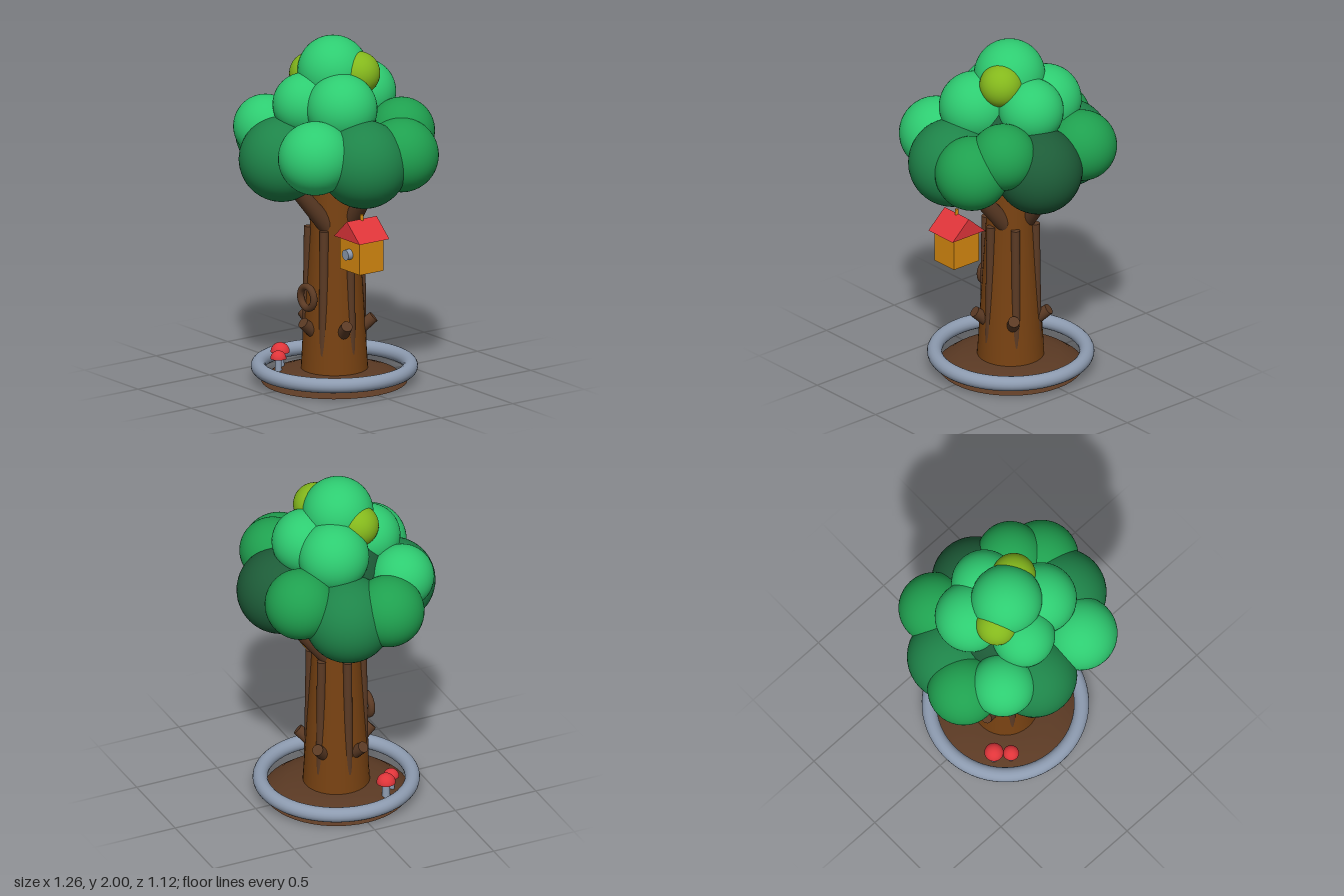
import * as THREE from 'three';

const mat = (name, color) => {
  const m = new THREE.MeshStandardMaterial({ color });
  m.name = name;
  return m;
};

export function createModel() {
  const tree = new THREE.Group();
  tree.name = 'tree';

  const M = {
    light: mat('light leaf green', 0x2ecc71),
    mid: mat('mid leaf green', 0x1fa04f),
    dark: mat('dark leaf green', 0x1e8449),
    deep: mat('deep leaf green', 0x1d5c38),
    lime: mat('lime green', 0x84b81c),
    trunk: mat('trunk brown', 0x784212),
    bark: mat('dark bark brown', 0x5b3a24),
    wood: mat('orange wood', 0xd68910),
    red: mat('red', 0xe0353a),
    grey: mat('blue grey', 0x8d9bb0),
  };

  const add = (name, geo, material, x = 0, y = 0, z = 0, parent = tree) => {
    const mesh = new THREE.Mesh(geo, material);
    mesh.name = name;
    mesh.position.set(x, y, z);
    parent.add(mesh);
    return mesh;
  };
  const lathe = (pts, segs = 40) =>
    new THREE.LatheGeometry(pts.map(([r, y]) => new THREE.Vector2(r, y)), segs);

  // cylinder running between two points
  const rod = (name, a, b, r0, r1, material) => {
    const A = new THREE.Vector3(...a), B = new THREE.Vector3(...b);
    const dir = B.clone().sub(A);
    const mesh = add(name, new THREE.CylinderGeometry(r1, r0, dir.length(), 18), material);
    mesh.position.copy(A).add(B).multiplyScalar(0.5);
    mesh.quaternion.setFromUnitVectors(new THREE.Vector3(0, 1, 0), dir.normalize());
    return mesh;
  };

  // ground mound with flat underside, and the ring around it
  add('moundTop', lathe([[0.41, 0], [0.36, 0.036], [0.28, 0.062], [0.18, 0.076], [0, 0.08]], 48), M.bark);
  add('moundBase', new THREE.CircleGeometry(0.41, 48), M.bark).rotation.x = Math.PI / 2;
  add('groundRing', new THREE.TorusGeometry(0.427, 0.042, 18, 64), M.grey, 0, 0.083, 0).rotation.x = Math.PI / 2;

  // trunk
  add('trunk', new THREE.CylinderGeometry(0.117, 0.19, 1.2, 40), M.trunk, 0, 0.65, 0);

  // bark ridges sinking into the flared trunk
  for (let i = 0; i < 6; i++) {
    const a = Math.PI / 6 + (i * Math.PI) / 3, s = Math.sin(a), c = Math.cos(a);
    rod('barkRidge', [s * 0.158, 0.1, c * 0.158], [s * 0.147, 0.9, c * 0.147], 0.025, 0.025, M.bark);
  }

  // cut branch stubs
  for (let i = 0; i < 5; i++) {
    const a = (i * Math.PI * 2) / 5, s = Math.sin(a), c = Math.cos(a);
    rod('branchStub', [s * 0.13, 0.29, c * 0.13], [s * 0.22, 0.367, c * 0.22], 0.038, 0.032, M.bark);
  }

  // knot on the front of the trunk
  add('trunkKnot', new THREE.TorusGeometry(0.062, 0.02, 14, 36), M.bark, 0, 0.51, 0.19);

  // four main branches, each starting slightly off its axis
  for (let i = 0; i < 4; i++) {
    const a = (i * Math.PI) / 2, s = Math.sin(a), c = Math.cos(a);
    rod('branch', [s * 0.06 + c * 0.045, 0.89, c * 0.06 - s * 0.045],
      [s * 0.36 + c * 0.02, 1.25, c * 0.36 - s * 0.02], 0.052, 0.04, M.bark);
  }

  // leaf clumps: material, x, y, z, radius
  const clumps = [
    ['deep', 0, 1.42, 0, 0.31],
    ['light', 0, 1.8, 0.01, 0.2],
    ['lime', 0.13, 1.8, -0.07, 0.123],
    ['lime', -0.13, 1.765, 0.07, 0.12],
    ['light', -0.035, 1.625, 0.185, 0.178],
    ['light', 0.19, 1.63, 0.09, 0.2],
    ['light', 0.015, 1.65, -0.19, 0.185],
    ['light', -0.175, 1.63, -0.1, 0.2],
    ['mid', -0.234, 1.41, -0.335, 0.2],
    ['deep', 0.065, 1.34, -0.315, 0.247],
    ['mid', 0.28, 1.47, -0.26, 0.188],
    ['mid', 0.42, 1.375, -0.155, 0.21],
    ['dark', 0.37, 1.345, 0.07, 0.249],
    ['light', 0.265, 1.4, 0.333, 0.208],
    ['dark', -0.072, 1.32, 0.315, 0.241],
    ['light', -0.275, 1.46, 0.277, 0.181],
    ['mid', -0.43, 1.355, 0.118, 0.203],
    ['dark', -0.335, 1.305, -0.085, 0.249],
  ];
  for (const [m, x, y, z, r] of clumps) add('leafClump', new THREE.SphereGeometry(r, 40, 28), M[m], x, y, z);

  // birdhouse
  const house = new THREE.Group();
  house.name = 'birdhouse';
  house.position.set(0.343, 0, 0.065);
  tree.add(house);
  add('birdhouseBody', new THREE.BoxGeometry(0.185, 0.19, 0.166), M.wood, 0, 0.823, 0, house);
  const gable = new THREE.Shape();
  gable.moveTo(-0.12, 0);
  gable.lineTo(0.12, 0);
  gable.lineTo(0, 0.108);
  gable.closePath();
  add('birdhouseRoof', new THREE.ExtrudeGeometry(gable, { depth: 0.208, bevelEnabled: false }),
    M.red, 0, 0.914, -0.104, house);
  add('birdhousePeg', new THREE.CylinderGeometry(0.03, 0.03, 0.05, 24), M.grey, 0, 0.83, 0.09, house)
    .rotation.x = Math.PI / 2;
  add('birdhouseHanger', new THREE.CylinderGeometry(0.01, 0.01, 0.06, 12), M.wood, 0, 1.018, 0, house);

  // mushrooms: x, z, cap radius, top height
  for (const [x, z, r, top] of [[-0.26, 0.185, 0.054, 0.19], [-0.19, 0.25, 0.045, 0.168]]) {
    const mushroom = new THREE.Group();
    mushroom.name = 'mushroom';
    mushroom.position.set(x, 0, z);
    tree.add(mushroom);
    const capY = top - r;
    add('mushroomStem', new THREE.CylinderGeometry(r * 0.38, r * 0.45, capY - 0.03, 16), M.grey,
      0, (capY + 0.04) / 2, 0, mushroom);
    add('mushroomCap', new THREE.SphereGeometry(r, 24, 12, 0, Math.PI * 2, 0, Math.PI / 2), M.red, 0, capY, 0, mushroom);
    add('mushroomCapUnderside', new THREE.CircleGeometry(r, 24), M.red, 0, capY, 0, mushroom).rotation.x = Math.PI / 2;
  }

  return tree;
}
